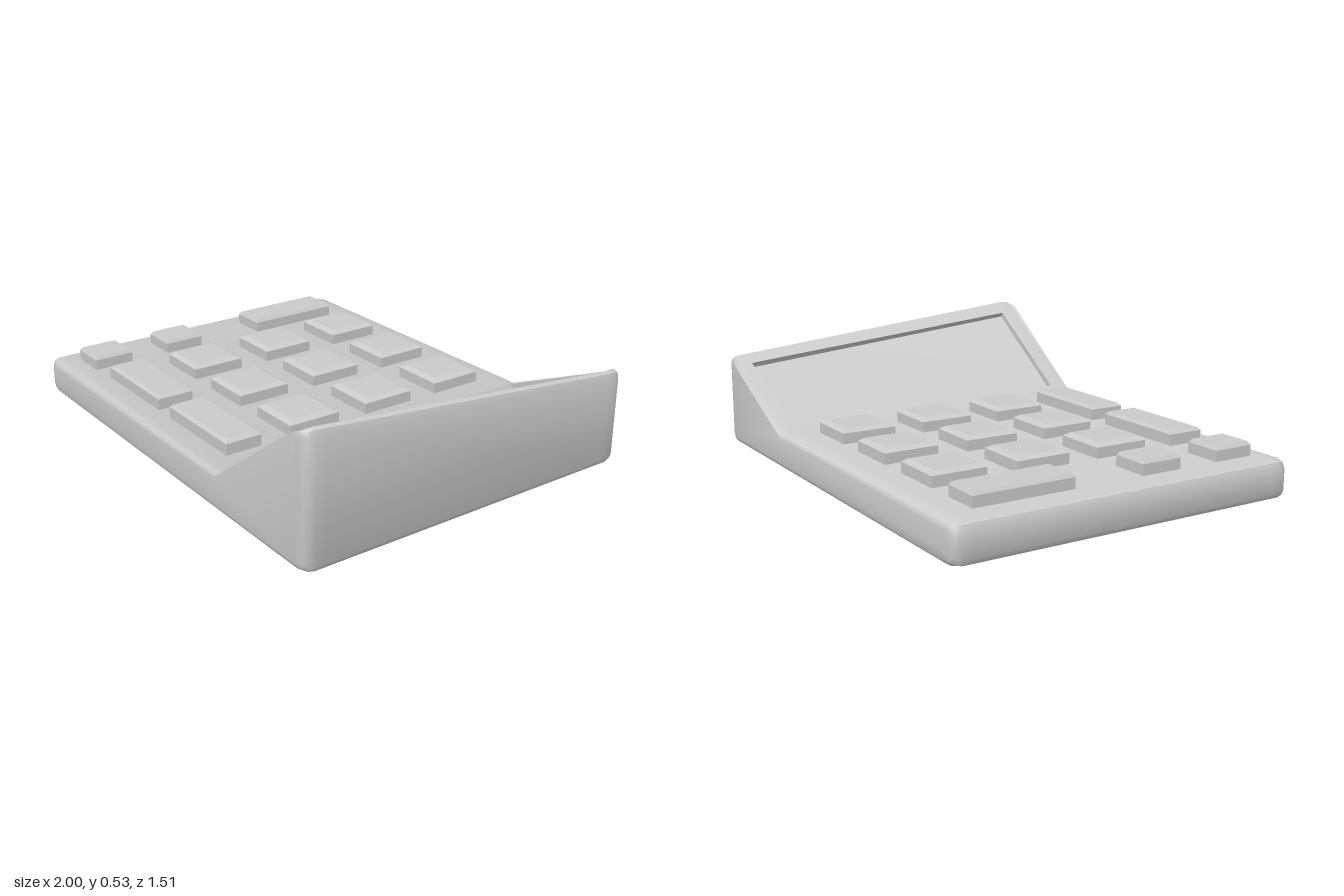
import * as THREE from 'three';
import { toCreasedNormals } from 'three/addons/utils/BufferGeometryUtils.js';

const material = new THREE.MeshStandardMaterial({ color: 0xcccccc, side: THREE.DoubleSide });
const DECK = 0.16;

// Height of the raised display edge, which falls towards the back
const crest = (z) => 0.466 + 0.097 * THREE.MathUtils.clamp(z, -0.71, 0.71);

// Stations along z: [z, x inset, y inset, display recessed]
const stations = [
  [-0.755, 0.045, 0.022, 0], [-0.747, 0.018, 0.011, 0], [-0.733, 0.005, 0.004, 0], [-0.71, 0, 0, 0],
  [-0.675, 0, 0, 0], [-0.675, 0, 0, 1], [0.67, 0, 0, 1], [0.67, 0, 0, 0],
  [0.71, 0, 0, 0], [0.733, 0.005, 0.004, 0], [0.747, 0.018, 0.011, 0], [0.755, 0.045, 0.022, 0],
];
const FLOOR = 8; // index of the first recess floor point in a section

// Outline of the body in x and y at one station
function section([z, ex, ey, sunk]) {
  const h = crest(z);
  const x0 = 0.44, x1 = 0.95;
  const slope = (x, depth) => {
    const rise = h - 0.017 - DECK;
    const len = Math.hypot(rise, x1 - x0);
    return [x + depth * rise / len, DECK + rise * (x - x0) / (x1 - x0) - depth * (x1 - x0) / len];
  };
  const d = sunk * 0.025;
  const outline = [
    [-0.96, 0], [0.96, 0], [0.988, 0.008], [1, 0.03],
    [1, h - 0.03], [0.993, h - 0.007], [0.978, h], [0.95, h - 0.017],
    slope(0.914, 0), slope(0.914, d), slope(0.483, d), slope(0.483, 0),
    [0.44, DECK], [-0.96, DECK], [-0.988, 0.15], [-1, 0.125], [-1, 0.03], [-0.988, 0.008],
  ];
  return outline.map(([x, y]) => [x * (1 - ex), y + (y < 0.1 ? ey : -ey), z]);
}

function buildBody() {
  const rings = stations.map(section);
  const body = [], screen = [];
  const tri = (out, ...p) => {
    const t = new THREE.Triangle(...p.map((v) => new THREE.Vector3(...v)));
    if (t.getArea() > 1e-8) p.forEach((v) => out.push(...v));
  };
  const n = rings[0].length;
  for (let s = 0; s < rings.length - 1; s++) {
    for (let i = 0; i < n; i++) {
      const j = (i + 1) % n;
      const isFloor = i === FLOOR + 1 && stations[s][3] && stations[s + 1][3];
      const out = isFloor ? screen : body;
      tri(out, rings[s][i], rings[s][j], rings[s + 1][j]);
      tri(out, rings[s][i], rings[s + 1][j], rings[s + 1][i]);
    }
  }
  // End caps
  [rings[0], rings[rings.length - 1]].forEach((full, end) => {
    const ring = full.filter((_, i) => i < FLOOR || i > FLOOR + 3);
    const faces = THREE.ShapeUtils.triangulateShape(ring.map(([x, y]) => new THREE.Vector2(x, y)), []);
    for (const [a, b, c] of faces) {
      if (end) tri(body, ring[a], ring[b], ring[c]);
      else tri(body, ring[c], ring[b], ring[a]);
    }
  });
  return [body, screen].map((points) => {
    const g = new THREE.BufferGeometry();
    g.setAttribute('position', new THREE.Float32BufferAttribute(points, 3));
    return toCreasedNormals(g, 0.65);
  });
}

// Key with a bevelled top, its lower bevel hidden in the deck
function key(name, x0, x1, z0, z1, bevel, drop) {
  const w = (x1 - x0) / 2 - bevel, l = (z1 - z0) / 2 - bevel;
  const shape = new THREE.Shape([[-w, -l], [w, -l], [w, l], [-w, l]].map((p) => new THREE.Vector2(...p)));
  const g = new THREE.ExtrudeGeometry(shape, {
    depth: 0.08 - drop, bevelEnabled: true, bevelSize: bevel, bevelThickness: drop, bevelSegments: 1,
  });
  g.rotateX(-Math.PI / 2);
  const mesh = new THREE.Mesh(g, material);
  mesh.name = name;
  mesh.position.set((x0 + x1) / 2, 0.138, (z0 + z1) / 2);
  return mesh;
}

export function createModel() {
  const model = new THREE.Group();
  model.name = 'deskCalculator';

  buildBody().forEach((g, i) => {
    const mesh = new THREE.Mesh(g, material);
    mesh.name = ['body', 'screen'][i];
    model.add(mesh);
  });

  // Square keys in a three by three block
  const keys = new THREE.Group();
  keys.name = 'keys';
  for (const z of [-0.61, -0.245, 0.122]) {
    for (const x of [-0.61, -0.252, 0.106]) {
      keys.add(key('squareKey', x, x + 0.23, z, z + 0.234, 0.022, 0.014));
    }
  }
  // Wide keys along the front
  for (const x of [-0.61, -0.092]) keys.add(key('wideKey', x, x + 0.428, 0.488, 0.645, 0.012, 0.012));
  // Side column
  for (const [z0, z1] of [[-0.61, -0.185], [0.122, 0.3], [0.478, 0.655]]) {
    keys.add(key('sideKey', -0.887, -0.727, z0, z1, 0.01, 0.014));
  }
  model.add(keys);
  return model;
}
